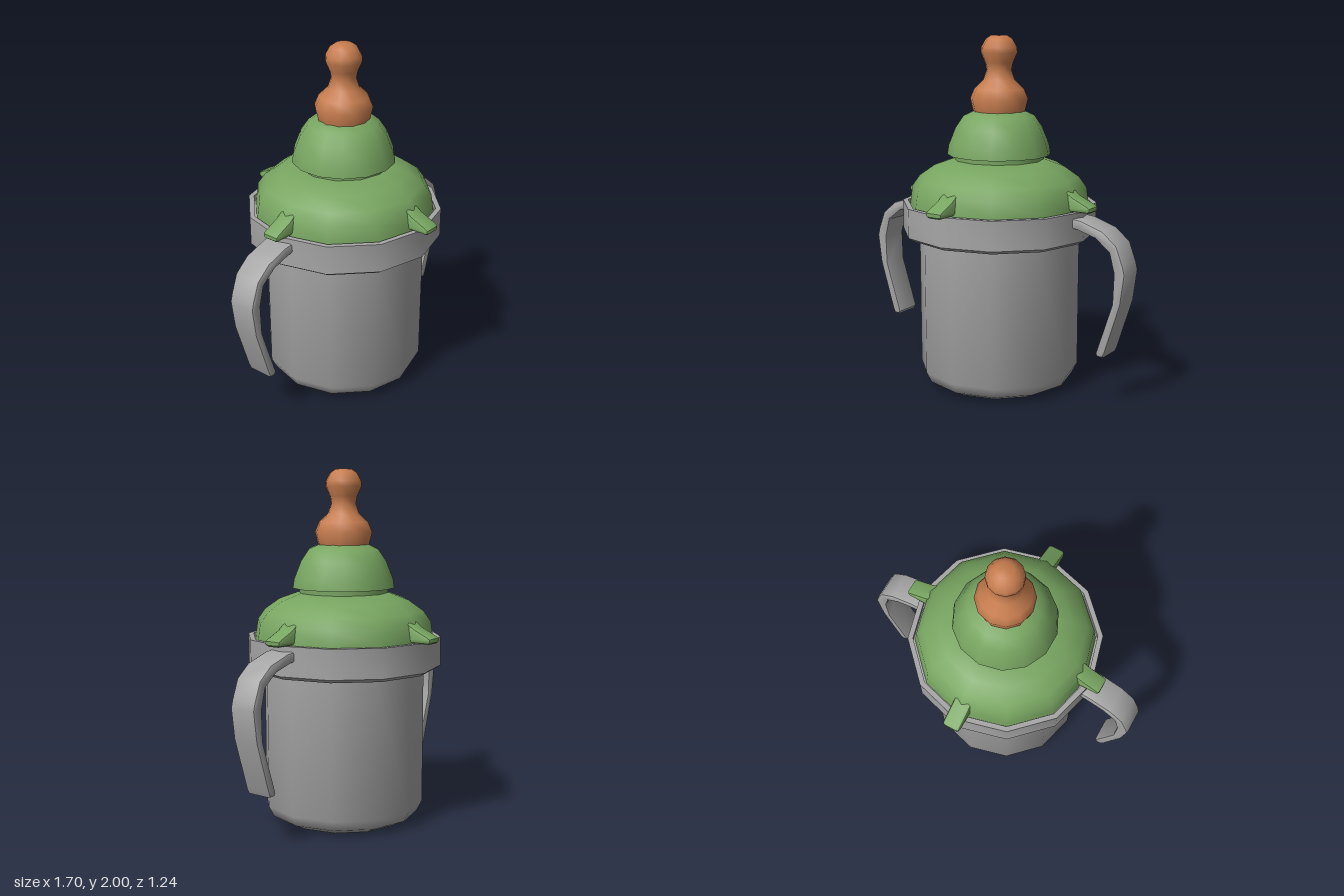
import * as THREE from 'three';
import { toCreasedNormals } from 'three/addons/utils/BufferGeometryUtils.js';

const makeMaterial = (name, color) => {
  const m = new THREE.MeshStandardMaterial({ color });
  m.name = name;
  return m;
};

const toPoints = (list) => list.map(([x, y]) => new THREE.Vector2(x, y));

// Turned part from a bottom-to-top profile
function turned(name, profile, sides, material, crease = 0.9) {
  const geometry = new THREE.LatheGeometry(toPoints(profile), sides);
  const mesh = new THREE.Mesh(toCreasedNormals(geometry, crease), material);
  mesh.name = name;
  return mesh;
}

// Bevelled slab from a side outline, centred on z
function slab(name, outline, width, bevel, material) {
  const geometry = new THREE.ExtrudeGeometry(new THREE.Shape(toPoints(outline)), {
    depth: width - 2 * bevel,
    bevelEnabled: true,
    bevelThickness: bevel,
    bevelSize: bevel,
    bevelOffset: -bevel,
    bevelSegments: 2,
  });
  geometry.translate(0, 0, bevel - width / 2);
  const mesh = new THREE.Mesh(toCreasedNormals(geometry, 0.65), material);
  mesh.name = name;
  return mesh;
}

export function createModel() {
  const grey = makeMaterial('cup grey', 0xa6a6a6);
  const green = makeMaterial('lid green', 0x78a561);
  const orange = makeMaterial('teat orange', 0xc67c4e);
  const model = new THREE.Group();
  model.name = 'babyBottle';

  // Cup with rounded foot
  model.add(turned('cupBody', [
    [0, 0], [0.35, 0], [0.43, 0.04], [0.46, 0.1], [0.46, 0.9],
  ], 12, grey));

  // Collar with an open lip around the lid
  model.add(turned('collar', [
    [0.45, 0.88], [0.525, 0.88], [0.555, 0.9], [0.555, 1.065],
    [0.525, 1.065], [0.525, 1.03], [0.44, 1.03],
  ], 12, grey));

  // Lid dome and neck
  model.add(turned('lidDome', [
    [0.515, 1.03], [0.51, 1.07], [0.498, 1.15], [0.455, 1.21],
    [0.37, 1.27], [0.26, 1.31], [0.255, 1.31], [0.255, 1.35],
  ], 12, green));

  // Upper cap holding the teat
  model.add(turned('upperCap', [
    [0.24, 1.338], [0.293, 1.338], [0.285, 1.39], [0.245, 1.49],
    [0.2, 1.555], [0.135, 1.585], [0, 1.585],
  ], 14, green));

  // Teat
  model.add(turned('teat', [
    [0.145, 1.575], [0.163, 1.65], [0.14, 1.705], [0.088, 1.755], [0.07, 1.81],
    [0.078, 1.85], [0.102, 1.905], [0.1, 1.935], [0.075, 1.98], [0.045, 2], [0, 2],
  ], 12, orange));

  // Four grip tabs around the lid
  const tabOutline = [
    [0.42, 1.065], [0.605, 1.065], [0.618, 1.075], [0.618, 1.095],
    [0.6, 1.107], [0.51, 1.147], [0.47, 1.175], [0.42, 1.18],
  ];
  for (let i = 0; i < 4; i++) {
    const tab = slab('lidTab', tabOutline, 0.104, 0.018, green);
    tab.rotation.y = (i * Math.PI) / 2;
    model.add(tab);
  }

  // Two curved handles
  const handleOutline = [
    [0.5, 0.985], [0.56, 0.977], [0.67, 0.945], [0.755, 0.88], [0.785, 0.77],
    [0.78, 0.6], [0.685, 0.305], [0.695, 0.288], [0.73, 0.288], [0.742, 0.315],
    [0.83, 0.6], [0.852, 0.77], [0.84, 0.815], [0.8, 0.92], [0.715, 0.99],
    [0.58, 1.033], [0.5, 1.04],
  ];
  [['leftHandle', 0], ['rightHandle', Math.PI]].forEach(([name, angle]) => {
    const handle = slab(name, handleOutline, 0.164, 0.014, grey);
    handle.rotation.y = angle;
    model.add(handle);
  });

  return model;
}
